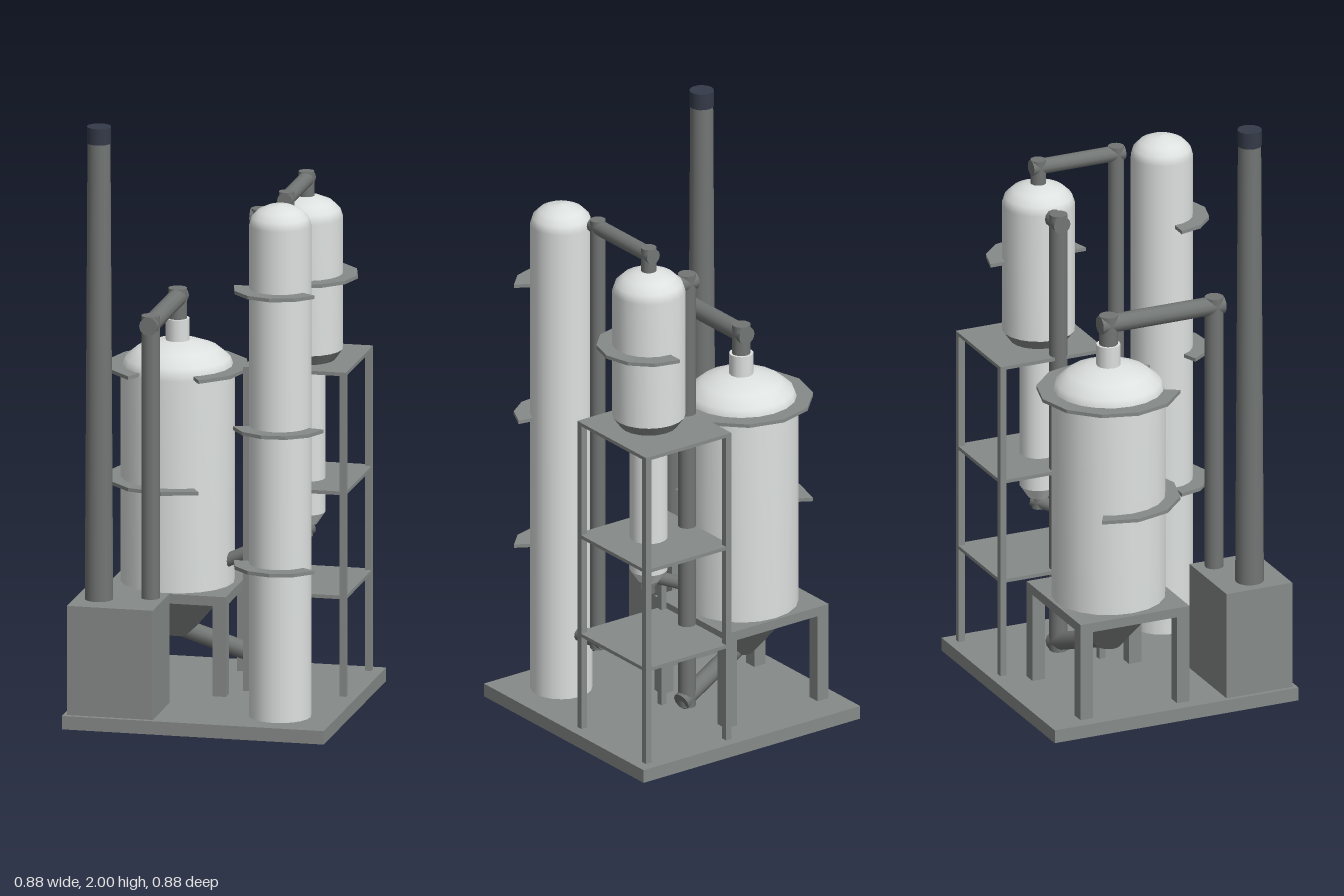
import * as THREE from 'three';

export function createModel() {
  const model = new THREE.Group();
  model.name = 'refinery';

  const mat = (name, color) => {
    const m = new THREE.MeshStandardMaterial({ color });
    m.name = name;
    return m;
  };
  const shell = mat('pale shell', 0xdde1df);
  const concrete = mat('structure grey', 0x868b89);
  const steel = mat('pipe steel', 0x727674);
  const dark = mat('chimney tip', 0x343a48);

  const add = (name, geo, material, x = 0, y = 0, z = 0) => {
    const m = new THREE.Mesh(geo, material);
    m.name = name;
    m.position.set(x, y, z);
    model.add(m);
    return m;
  };

  // Box given by its limits on each axis
  const block = (name, material, x0, x1, y0, y1, z0, z1) =>
    add(name, new THREE.BoxGeometry(x1 - x0, y1 - y0, z1 - z0), material,
      (x0 + x1) / 2, (y0 + y1) / 2, (z0 + z1) / 2);

  // Upright cylinder or cone between two heights
  const drum = (name, material, x, z, y0, y1, r0, r1 = r0, sides = 20) =>
    add(name, new THREE.CylinderGeometry(r1, r0, y1 - y0, sides), material, x, (y0 + y1) / 2, z);

  // Tank with a rounded top
  const tank = (name, x, z, r, y0, yShoulder, yTop) => {
    const pts = [new THREE.Vector2(r, y0)];
    for (let i = 0; i <= 4; i++) {
      const a = (i / 4) * Math.PI / 2;
      pts.push(new THREE.Vector2(Math.max(0, r * Math.cos(a)),
        yShoulder + (yTop - yShoulder) * Math.sin(a)));
    }
    add(name, new THREE.LatheGeometry(pts, 20), shell, x, 0, z);
  };

  // Pipe run: straight lengths that cross at the corners, each overshooting by its radius
  const pipe = (name, r, points) => {
    const run = new THREE.Group();
    run.name = name;
    const v = points.map((p) => new THREE.Vector3(...p));
    for (let i = 0; i < v.length - 1; i++) {
      const dir = v[i + 1].clone().sub(v[i]).normalize();
      const a = v[i].clone().addScaledVector(dir, i > 0 ? -r : 0);
      const b = v[i + 1].clone().addScaledVector(dir, i < v.length - 2 ? r : 0);
      const m = new THREE.Mesh(new THREE.CylinderGeometry(r, r, a.distanceTo(b), 12), steel);
      m.name = 'pipeLength';
      m.position.copy(a).lerp(b, 0.5);
      m.quaternion.setFromUnitVectors(new THREE.Vector3(0, 1, 0), dir);
      run.add(m);
    }
    model.add(run);
  };

  // Walkway: faceted arc plate, degrees measured from +x towards +z
  const walkway = (name, x, y, z, rIn, rOut, from, to) => {
    const n = Math.round((to - from) / 30);
    const at = (i, r) => {
      const a = THREE.MathUtils.degToRad(from + (to - from) * i / n);
      return new THREE.Vector2(r * Math.cos(a), r * Math.sin(a));
    };
    const pts = [];
    for (let i = 0; i <= n; i++) pts.push(at(i, rOut));
    for (let i = n; i >= 0; i--) pts.push(at(i, rIn));
    const geo = new THREE.ExtrudeGeometry(new THREE.Shape(pts), { depth: 0.012, bevelEnabled: false });
    geo.rotateX(Math.PI / 2);
    add(name, geo, concrete, x, y + 0.006, z);
  };

  // Ground slab
  block('baseSlab', concrete, -0.439, 0.439, 0, 0.045, -0.438, 0.438);

  // Furnace and chimney
  block('furnace', concrete, -0.425, -0.138, 0.045, 0.412, 0.186, 0.422);
  drum('chimney', steel, -0.346, 0.305, 0.41, 1.945, 0.047, 0.038, 16);
  drum('chimneyTip', dark, -0.346, 0.305, 1.945, 2.0, 0.04, 0.04, 16);

  // Tall column with walkways
  const [cx, cz] = [0.252, 0.267];
  tank('column', cx, cz, 0.102, 0.045, 1.695, 1.765);
  walkway('columnWalkwayTop', cx, 1.478, cz, 0.095, 0.155, 30, 180);
  walkway('columnWalkwayMiddle', cx, 1.016, cz, 0.095, 0.155, 10, 160);
  walkway('columnWalkwayLow', cx, 0.553, cz, 0.095, 0.155, 30, 180);

  // Large reactor on a four-legged stand
  const [rx, rz] = [-0.186, -0.128];
  tank('reactor', rx, rz, 0.187, 0.38, 1.09, 1.192);
  drum('reactorNozzle', shell, rx, rz, 1.17, 1.26, 0.04, 0.04, 12);
  drum('reactorHopper', concrete, rx, rz, 0.2, 0.36, 0.04, 0.175);
  block('reactorStandTop', concrete, -0.395, 0.022, 0.348, 0.38, -0.325, 0.067);
  for (const x of [-0.395, -0.023])
    for (const z of [-0.325, 0.022])
      block('reactorLeg', concrete, x, x + 0.045, 0.045, 0.348, z, z + 0.045);
  walkway('reactorWalkwayTop', rx, 1.1, rz, 0.175, 0.236, -240, 60);
  walkway('reactorWalkwayLow', rx, 0.725, rz, 0.175, 0.236, 60, 210);

  // Separator vessel with its narrow leg
  const [vx, vz] = [0.232, -0.186];
  tank('separator', vx, vz, 0.12, 1.17, 1.61, 1.685);
  drum('separatorCone', concrete, vx, vz, 1.115, 1.17, 0.08, 0.12);
  drum('separatorLeg', shell, vx, vz, 0.62, 1.12, 0.062);
  drum('separatorLegCone', shell, vx, vz, 0.58, 0.62, 0.035, 0.062);
  walkway('separatorWalkway', vx, 1.418, vz, 0.11, 0.172, -90, 90);

  // Open steel tower with three decks
  for (const y of [0.378, 0.728, 1.128])
    block('towerDeck', concrete, 0.057, 0.403, y - 0.006, y + 0.006, -0.403, -0.026);
  for (const x of [0.057, 0.381])
    for (const z of [-0.403, -0.048])
      block('towerPost', concrete, x, x + 0.022, 0.045, 1.13, z, z + 0.022);

  // Connecting pipes
  pipe('reactorOverheadPipe', 0.031, [[rx, 1.24, rz], [rx, 1.33, rz], [rx, 1.33, 0.252], [rx, 0.4, 0.252]]);
  pipe('riserPipe', 0.03, [[rx, 0.225, rz], [0.077, 0.125, vz], [0.077, 1.6, vz], [0.15, 1.6, vz]]);
  pipe('separatorOverheadPipe', 0.026, [[vx, 1.66, vz], [vx, 1.738, vz], [vx, 1.738, 0.093],
    [vx, 0.267, 0.093], [cx, 0.267, 0.2]]);
  pipe('returnPipe', 0.022, [[vx, 0.6, vz], [vx, 0.56, vz], [0.14, 0.535, -0.093], [-0.02, 0.46, -0.093]]);

  return model;
}
